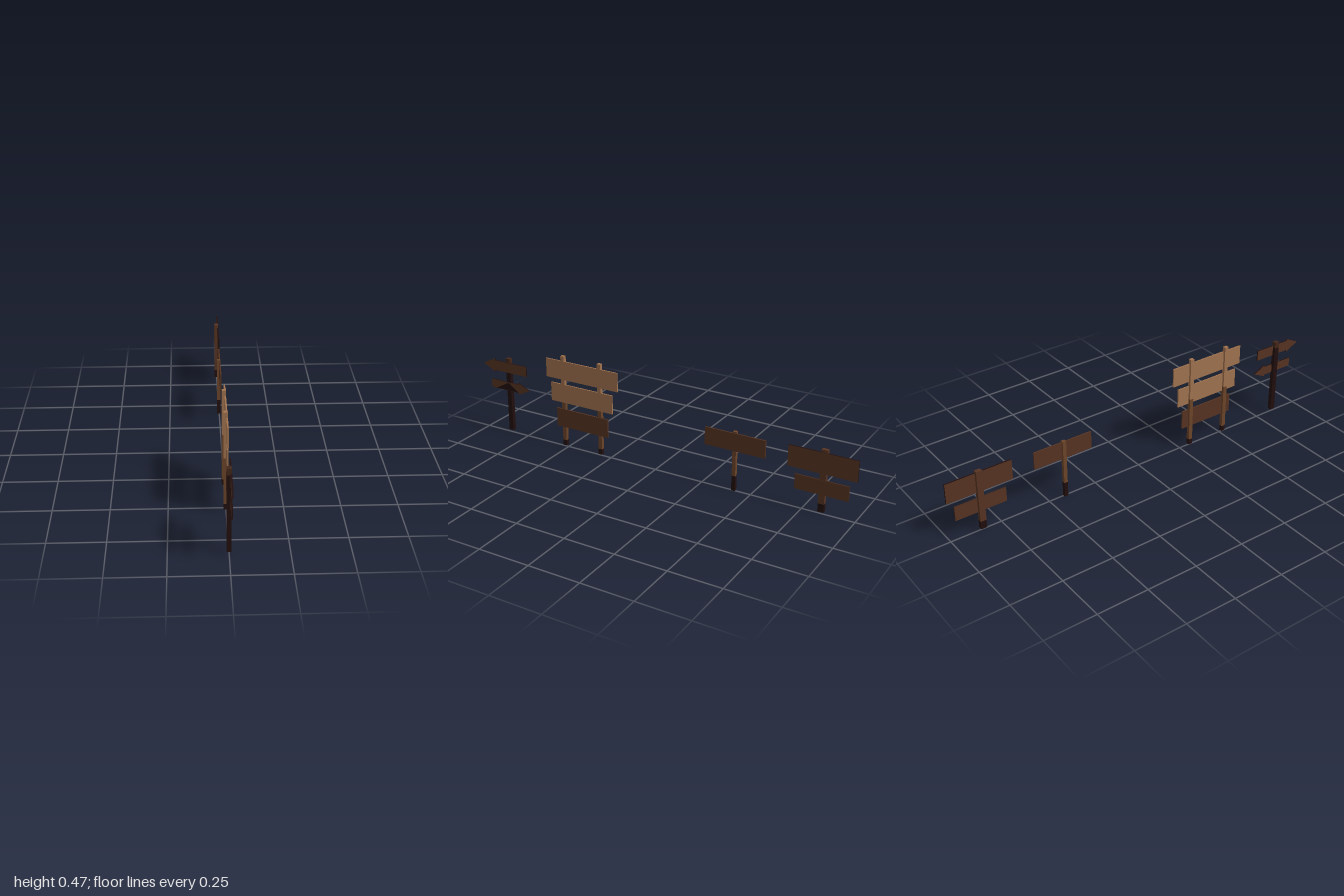
import * as THREE from 'three';

const mat = (name, color) => {
  const m = new THREE.MeshStandardMaterial({ color });
  m.name = name;
  return m;
};

export function createModel() {
  const light = mat('light wood', 0xa0724e);
  const mid = mat('mid brown wood', 0x6b4429);
  const brown = mat('brown wood', 0x563322);
  const dark = mat('dark brown wood', 0x43271a);
  const black = mat('blackened wood', 0x210f0e);

  const model = new THREE.Group();
  model.name = 'signposts';

  const sign = (name) => {
    const g = new THREE.Group();
    g.name = name;
    model.add(g);
    return g;
  };

  // box given by its limits on each axis
  const box = (parent, name, x0, x1, y0, y1, z0, z1, material) => {
    const geo = new THREE.BoxGeometry(x1 - x0, y1 - y0, z1 - z0);
    geo.translate((x0 + x1) / 2, (y0 + y1) / 2, (z0 + z1) / 2);
    const mesh = new THREE.Mesh(geo, material);
    mesh.name = name;
    parent.add(mesh);
  };

  // square post stacked from coloured lengths: levels [y, material above it], then the top
  const post = (parent, z, width, x0, x1, levels, top) => {
    levels.forEach(([y, material], i) => {
      const y1 = i + 1 < levels.length ? levels[i + 1][0] : top;
      box(parent, 'post', x0, x1, y, y1, z - width / 2, z + width / 2, material);
    });
  };

  // board whose broad faces and edges may differ in colour
  const board = (parent, x0, x1, y0, y1, z0, z1, face, edge = face) =>
    box(parent, 'board', x0, x1, y0, y1, z0, z1, [face, face, edge, edge, edge, edge]);

  // flat outline of [z, y] corners, thickened along x
  const plate = (parent, name, points, x0, x1, face, edge) => {
    const shape = new THREE.Shape(points.map(([z, y]) => new THREE.Vector2(z, y)));
    const geo = new THREE.ExtrudeGeometry(shape, { depth: x1 - x0, bevelEnabled: false });
    geo.rotateY(-Math.PI / 2).translate(x1, 0, 0);
    const mesh = new THREE.Mesh(geo, [face, edge]);
    mesh.name = name;
    parent.add(mesh);
  };

  // arrow from tail to tip along z
  const arrow = (parent, tail, neck, tip, y, half, headHalf) =>
    plate(parent, 'arrowBoard', [
      [tail, y - half], [neck, y - half], [neck, y - headHalf], [tip, y],
      [neck, y + headHalf], [neck, y + half], [tail, y + half],
    ], 0.004, 0.0105, brown, black);

  // Two arrows on a dark post
  const arrows = sign('arrowSign');
  post(arrows, 0.848, 0.025, -0.011, 0.009, [[0.015, black], [0.37, dark]], 0.4);
  arrow(arrows, 0.735, 0.927, 1.0, 0.352, 0.026, 0.036);
  arrow(arrows, 0.955, 0.787, 0.722, 0.252, 0.022, 0.031);
  plate(arrows, 'darkStain', [[0.925, 0.231], [0.79, 0.231], [0.848, 0.273]],
    0.0103, 0.0112, black, black);

  // Three boards on two posts
  const triple = sign('tripleBoardSign');
  for (const z of [0.517, 0.308])
    post(triple, z, 0.02, -0.011, 0.0064, [[0.007, black], [0.035, mid], [0.26, light]], 0.475);
  board(triple, 0, 0.007, 0.355, 0.45, 0.205, 0.612, light);
  board(triple, 0, 0.007, 0.235, 0.33, 0.235, 0.587, light);
  board(triple, 0, 0.007, 0.105, 0.2, 0.262, 0.557, brown);

  // One board on a thin post
  const single = sign('singleBoardSign');
  post(single, -0.414, 0.018, -0.011, 0.0055, [[0, black], [0.075, mid]], 0.295);
  board(single, 0, 0.0065, 0.2, 0.287, -0.567, -0.264, brown);

  // Two boards on a thick post
  const double = sign('doubleBoardSign');
  post(double, -0.842, 0.029, -0.012, 0.0075, [[0.01, black], [0.05, brown]], 0.31);
  board(double, 0.002, 0.0095, 0.197, 0.297, -1.0, -0.676, brown, black);
  board(double, 0.002, 0.0095, 0.095, 0.166, -0.966, -0.713, brown, dark);

  return model;
}
